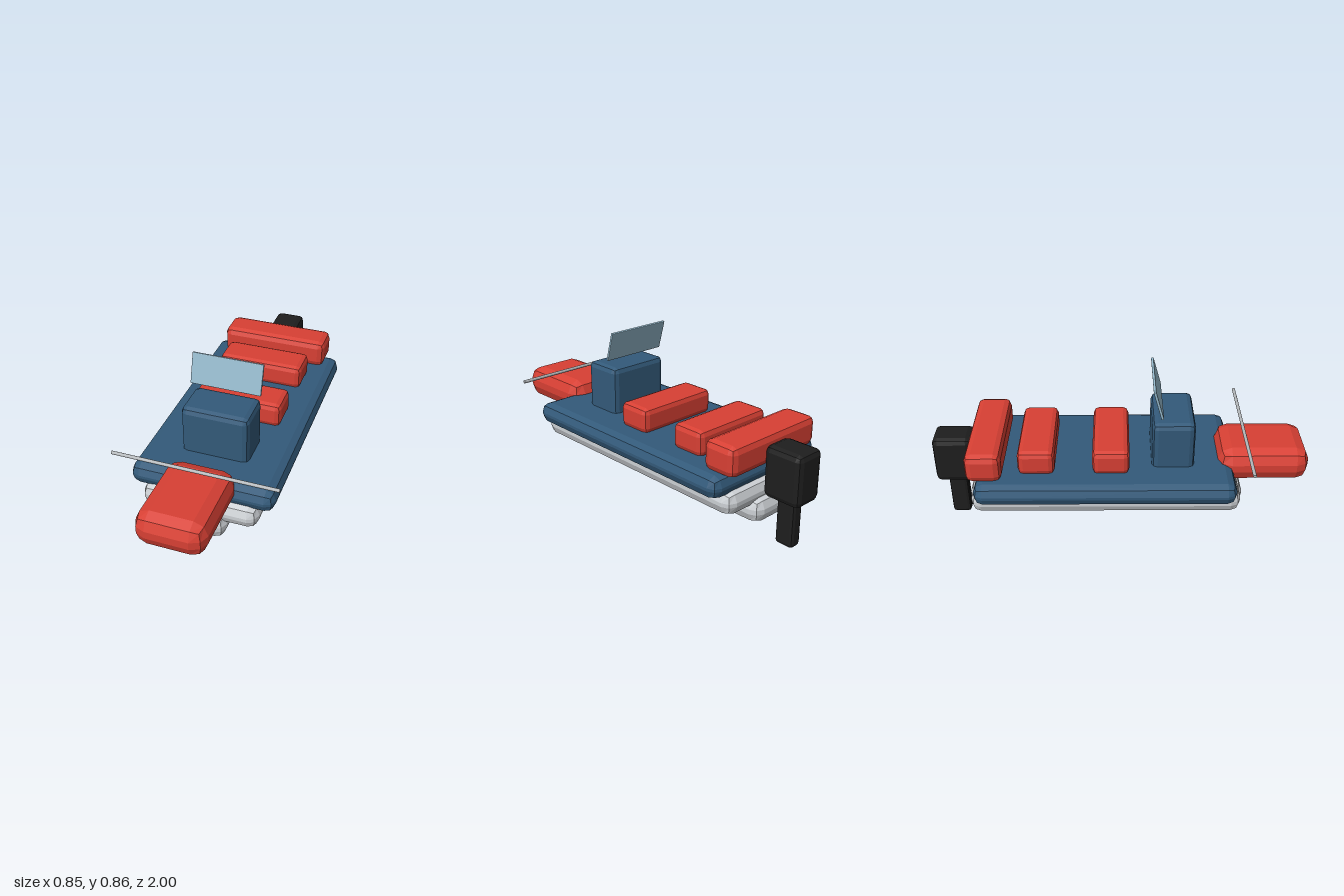
import * as THREE from 'three';

const paint = (name, color) => Object.assign(new THREE.MeshStandardMaterial({ color }), { name });

// Box with a two-step bevel of radius r on every edge, flat facets
function bevelBox(w, h, d, r) {
  const geo = new THREE.BoxGeometry(1, 1, 1, 3, 3, 3);
  const pos = geo.attributes.position;
  const half = new THREE.Vector3(w / 2, h / 2, d / 2);
  const core = half.clone().subScalar(r);
  const p = new THREE.Vector3();
  const inner = new THREE.Vector3();
  for (let i = 0; i < pos.count; i++) {
    p.fromBufferAttribute(pos, i);
    for (const a of ['x', 'y', 'z']) {
      inner[a] = Math.sign(p[a]) * core[a];
      // outer grid lines lie on the surface, inner ones on the bevel border
      p[a] = Math.abs(p[a]) > 0.4 ? Math.sign(p[a]) : 0;
    }
    p.normalize().multiplyScalar(r).add(inner);
    pos.setXYZ(i, p.x, p.y, p.z);
  }
  const flat = geo.toNonIndexed();
  flat.computeVertexNormals();
  return flat;
}

export function createModel() {
  const boat = new THREE.Group();
  boat.name = 'boat';

  const blue = paint('deck blue', 0x335a7a);
  const red = paint('cushion red', 0xd84034);
  const grey = paint('hull grey', 0xcdd1d5);
  const black = paint('motor black', 0x1e1e1e);
  const glass = paint('windshield glass', 0x96bacd);
  const metal = paint('rail metal', 0xb4b8bb);

  // Part given by half width, y range, z range and bevel radius
  function block(name, mat, halfW, y0, y1, z0, z1, r) {
    const mesh = new THREE.Mesh(bevelBox(halfW * 2, y1 - y0, z1 - z0, r), mat);
    mesh.position.set(0, (y0 + y1) / 2, (z0 + z1) / 2);
    mesh.name = name;
    boat.add(mesh);
    return mesh;
  }

  // Stepped hull
  block('keel', grey, 0.146, 0.108, 0.243, -0.818, 0.665, 0.055);
  block('lowerHull', grey, 0.305, 0.195, 0.321, -0.783, 0.632, 0.053);
  block('deck', blue, 0.377, 0.295, 0.41, -0.755, 0.6, 0.05);

  // Bow cushion and helm console
  block('bowCushion', red, 0.178, 0.302, 0.483, 0.52, 1.0, 0.07);
  block('console', blue, 0.178, 0.38, 0.664, 0.166, 0.388, 0.03);

  // Seats from front to back
  block('frontSeat', red, 0.24, 0.4, 0.536, -0.145, 0.048, 0.03);
  block('middleSeat', red, 0.24, 0.4, 0.536, -0.532, -0.34, 0.03);
  block('sternBench', red, 0.305, 0.4, 0.556, -0.795, -0.608, 0.036);

  // Outboard motor
  block('motorHead', black, 0.085, 0.248, 0.515, -1.0, -0.79, 0.03);
  block('motorLeg', black, 0.035, 0, 0.28, -0.945, -0.842, 0.018);

  // Windshield leaning back above the console
  const windshield = block('windshield', glass, 0.187, 0.703, 0.867, 0.186, 0.2, 0.004);
  windshield.rotation.x = -0.27;

  // Thin rail across the bow
  const rail = new THREE.Mesh(new THREE.CylinderGeometry(0.009, 0.009, 0.85, 10), metal);
  rail.name = 'bowRail';
  rail.rotation.z = Math.PI / 2;
  rail.position.set(0, 0.528, 0.66);
  boat.add(rail);

  return boat;
}
